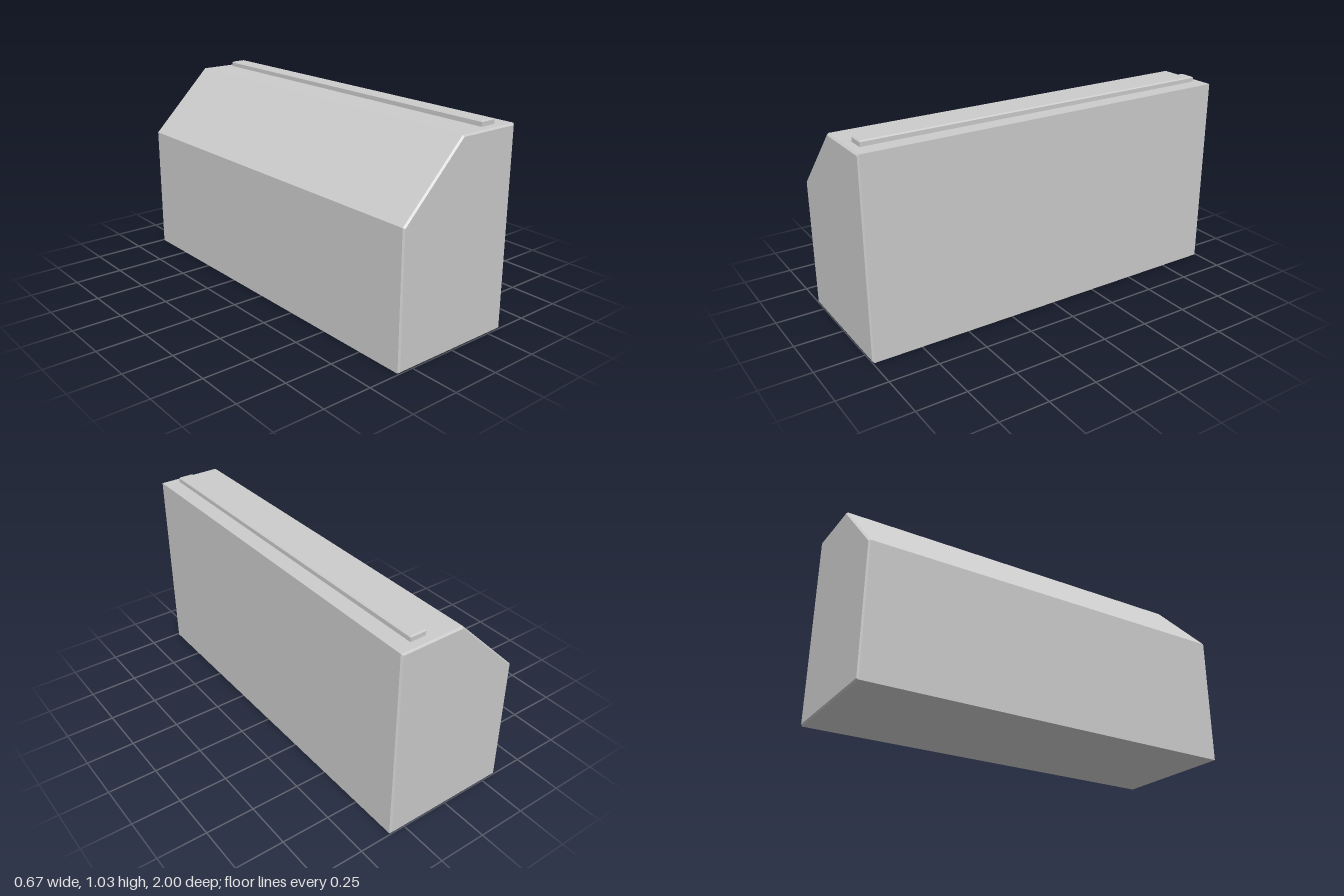
import * as THREE from 'three';

const material = new THREE.MeshStandardMaterial({ color: 0xcccccc, flatShading: true });

// Extrudes an outline along z between -length/2 and length/2, with chamfered end edges.
function chamferedPrism(points, length, chamfer) {
  const shape = new THREE.Shape(points.map(([x, y]) => new THREE.Vector2(x, y)));
  const geometry = new THREE.ExtrudeGeometry(shape, {
    depth: length - 2 * chamfer,
    bevelEnabled: true,
    bevelSegments: 1,
    bevelThickness: chamfer,
    bevelSize: chamfer,
    bevelOffset: -chamfer,
  });
  return geometry.translate(0, 0, chamfer - length / 2);
}

function addPart(group, name, geometry) {
  const mesh = new THREE.Mesh(geometry, material);
  mesh.name = name;
  group.add(mesh);
  return mesh;
}

export function createModel() {
  const group = new THREE.Group();
  group.name = 'slopedBlock';

  // Long block with one sloped shoulder and chamfered ends
  const w = 1 / 3;
  const outline = [[-w, 0], [w, 0], [w, 1], [0, 1], [-w, 2 / 3]];
  addPart(group, 'body', chamferedPrism(outline, 2, 0.008));

  // Raised strip along the top, its lower edge sunk into the body
  const hw = 0.0415, hl = 0.953, top = 1.027, height = 0.05;
  const stripOutline = [[-hw, -hl], [hw, -hl], [hw, hl], [-hw, hl]];
  const strip = addPart(group, 'topStrip',
    chamferedPrism(stripOutline, height, 0.006).rotateX(-Math.PI / 2));
  strip.position.set(0.208, top - height / 2, 0);

  return group;
}
